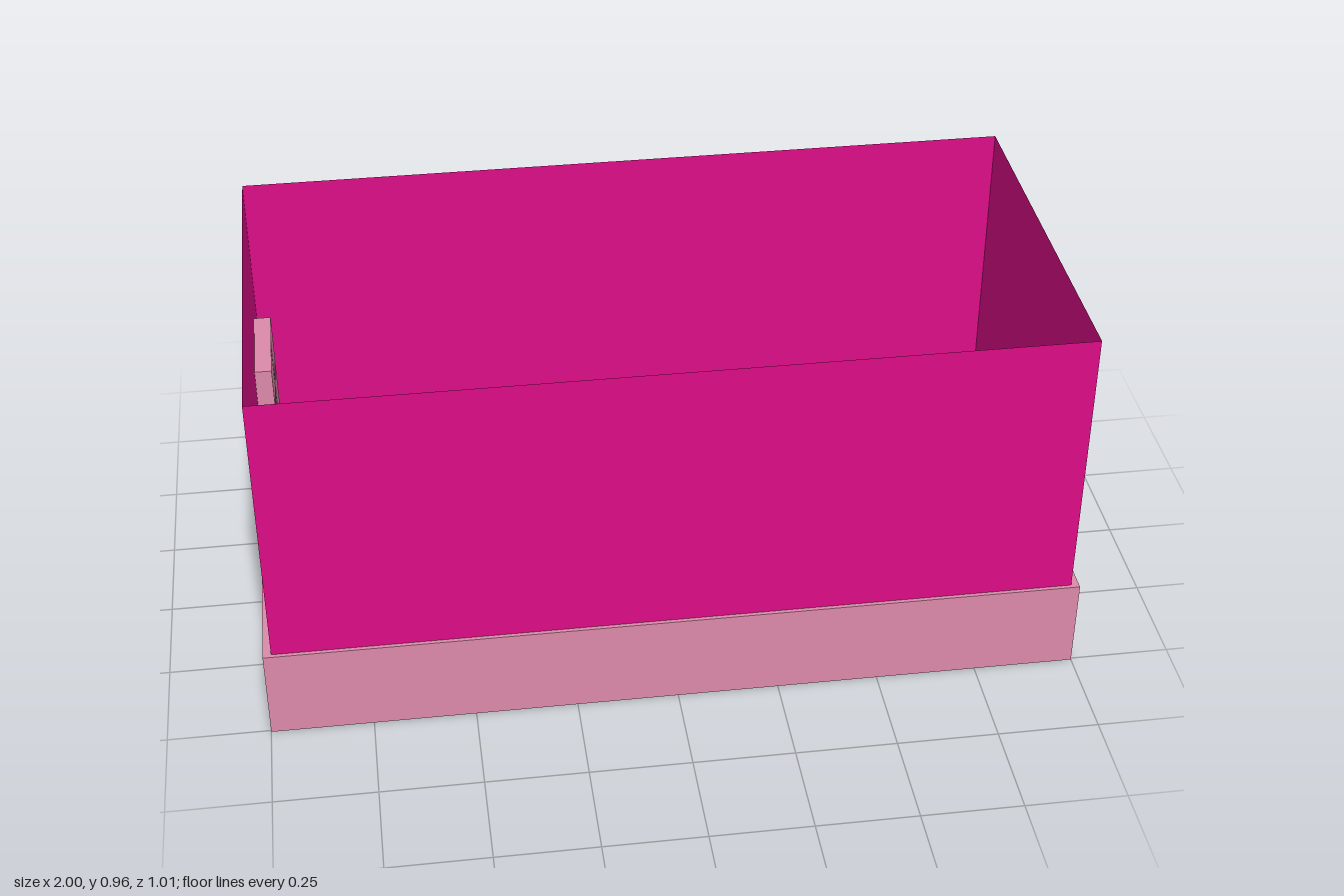
import * as THREE from 'three';

const pink = new THREE.MeshStandardMaterial({ color: 0xdc8aaa, side: THREE.DoubleSide });
const magenta = new THREE.MeshStandardMaterial({ color: 0xdc0d88, side: THREE.DoubleSide });

const BASE_TOP = 0.235, WALL_TOP = 0.955, WX = 0.98, WZ = 0.495;
const WIN_W = 0.25, WIN_H = 0.4, WIN_Z = 0.245; // window size and offset
const PANE_X = -0.938, BAR_X = -0.95, BAR = 0.016;

function add(parent, name, geometry, material) {
  const mesh = new THREE.Mesh(geometry, material);
  mesh.name = name;
  parent.add(mesh);
  return mesh;
}

// Flat sheet in the x = const plane, facing -x
function sheetX(parent, name, x, y, z, w, h) {
  const m = add(parent, name, new THREE.PlaneGeometry(w, h), pink);
  m.rotation.y = -Math.PI / 2;
  m.position.set(x, y, z);
}

// Four open sides of a rectangular recess running from x0 to x1
function recess(parent, name, x0, x1, y, z, w, h) {
  const d = x1 - x0, cx = (x0 + x1) / 2;
  for (const s of [-1, 1]) {
    const side = add(parent, name + 'Side', new THREE.PlaneGeometry(d, h), pink);
    side.position.set(cx, y, z + s * w / 2);
    if (s > 0) side.rotation.y = Math.PI;
    const level = add(parent, name + 'Level', new THREE.PlaneGeometry(d, w), pink);
    level.rotation.x = s < 0 ? -Math.PI / 2 : Math.PI / 2;
    level.position.set(cx, y + s * h / 2, z);
  }
}

// Recessed window: reveal, raised glazing bars and 2 x 3 panes
function createWindow(z) {
  const win = new THREE.Group();
  win.name = 'window';
  const cy = BASE_TOP + WIN_H / 2;
  recess(win, 'reveal', -WX, PANE_X, cy, z, WIN_W, WIN_H);

  const cols = 2, rows = 3;
  const cw = (WIN_W - BAR) / cols, ch = (WIN_H - 2 * BAR) / rows;
  for (let c = 0; c < cols; c++) {
    for (let r = 0; r < rows; r++) {
      const pz = z - WIN_W / 2 + cw / 2 + c * (cw + BAR);
      const py = BASE_TOP + ch / 2 + r * (ch + BAR);
      sheetX(win, 'pane', PANE_X, py, pz, cw, ch);
      recess(win, 'barEdge', BAR_X, PANE_X, py, pz, cw, ch);
      if (r > 0) sheetX(win, 'crossBar', BAR_X, py - (ch + BAR) / 2, pz, cw, BAR);
    }
  }
  sheetX(win, 'uprightBar', BAR_X, cy, z, BAR, WIN_H);
  return win;
}

export function createModel() {
  const model = new THREE.Group();
  model.name = 'building';

  // Plinth
  add(model, 'plinth', new THREE.BoxGeometry(2, BASE_TOP, 1.01), pink)
    .position.y = BASE_TOP / 2;

  // Plain walls: thin sheets, open at the top
  const wallH = WALL_TOP - BASE_TOP, midY = (WALL_TOP + BASE_TOP) / 2;
  for (const s of [-1, 1]) {
    const wall = add(model, s > 0 ? 'frontWall' : 'backWall',
      new THREE.PlaneGeometry(2 * WX, wallH), magenta);
    wall.position.set(0, midY, s * WZ);
    if (s < 0) wall.rotation.y = Math.PI;
  }
  const plainEnd = add(model, 'plainEndWall', new THREE.PlaneGeometry(2 * WZ, wallH), magenta);
  plainEnd.rotation.y = Math.PI / 2;
  plainEnd.position.set(WX, midY, 0);

  // End wall notched for two windows
  const shape = new THREE.Shape();
  shape.moveTo(-WZ, BASE_TOP);
  for (const z of [-WIN_Z, WIN_Z]) {
    const a = z - WIN_W / 2, b = z + WIN_W / 2, top = BASE_TOP + WIN_H;
    shape.lineTo(a, BASE_TOP);
    shape.lineTo(a, top);
    shape.lineTo(b, top);
    shape.lineTo(b, BASE_TOP);
  }
  shape.lineTo(WZ, BASE_TOP);
  shape.lineTo(WZ, WALL_TOP);
  shape.lineTo(-WZ, WALL_TOP);
  const windowWall = add(model, 'windowWall', new THREE.ShapeGeometry(shape), magenta);
  windowWall.rotation.y = -Math.PI / 2;
  windowWall.position.x = -WX;

  for (const z of [-WIN_Z, WIN_Z]) model.add(createWindow(z));

  return model;
}
